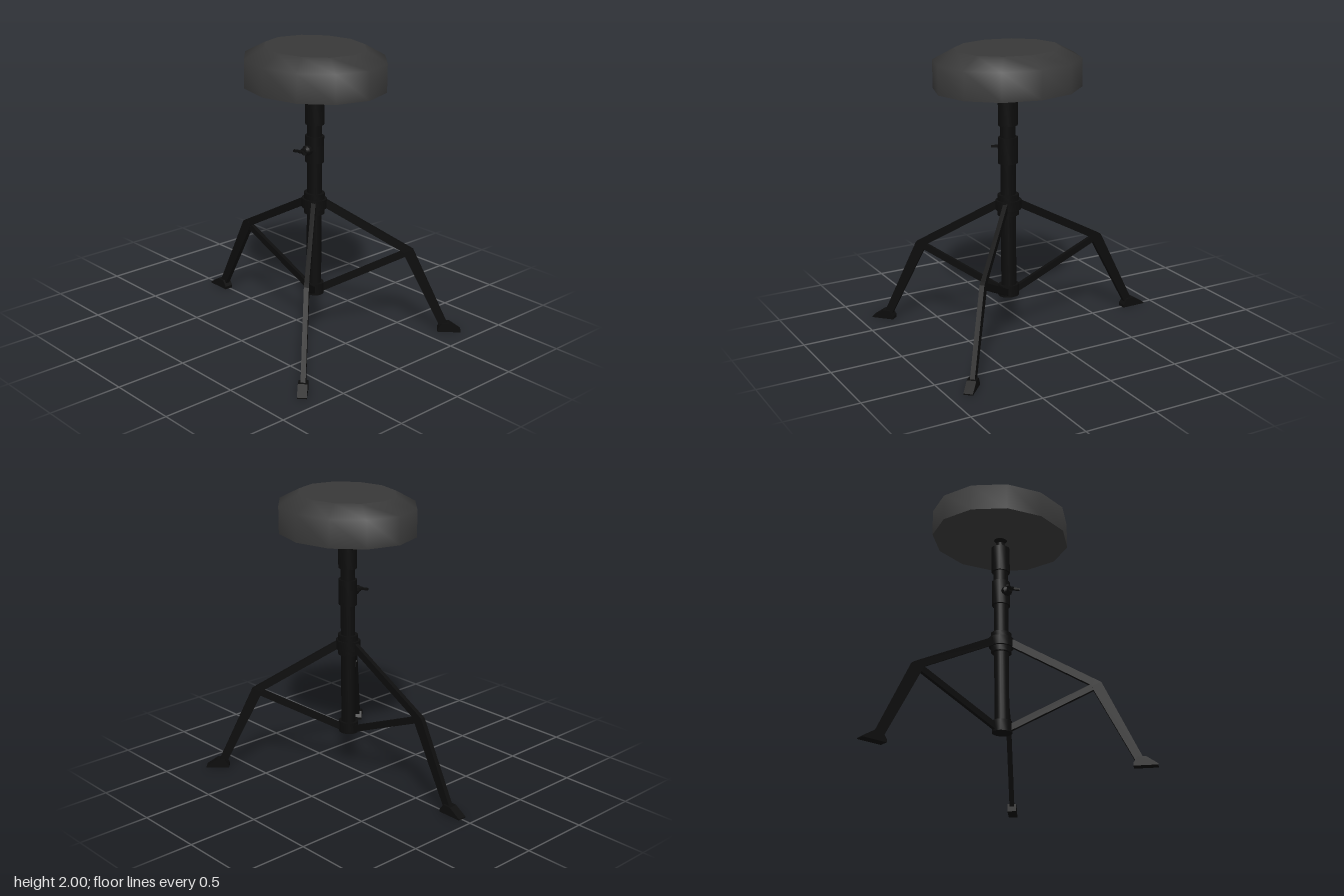
import * as THREE from 'three';
import { toCreasedNormals } from 'three/addons/utils/BufferGeometryUtils.js';

const STRETCH = 1.128; // seat and column are slightly oval, longer in z
const metal = new THREE.MeshStandardMaterial({ color: 0x0c0c0c });
const vinyl = new THREE.MeshStandardMaterial({ color: 0x383838 });

function add(parent, name, geometry, material = metal) {
  const mesh = new THREE.Mesh(geometry, material);
  mesh.name = name;
  parent.add(mesh);
  return mesh;
}

// closed turned part from [radius, height] pairs, bottom to top
function turned(points, sides = 16) {
  const p = points.map(([r, y]) => new THREE.Vector2(r, y));
  const closed = [new THREE.Vector2(0, p[0].y), ...p, new THREE.Vector2(0, p[p.length - 1].y)];
  return toCreasedNormals(new THREE.LatheGeometry(closed, sides), 0.6);
}

// flat side profile extruded evenly to both sides of its plane
function plate(points, width) {
  const shape = new THREE.Shape(points.map(([x, y]) => new THREE.Vector2(x, y)));
  const g = new THREE.ExtrudeGeometry(shape, { depth: width, bevelEnabled: false });
  return g.translate(0, 0, -width / 2);
}

// flat bar between two points of the leg plane
function bar(a, b, thick, width) {
  const dx = b[0] - a[0], dy = b[1] - a[1], len = Math.hypot(dx, dy);
  const nx = (-dy / len) * thick / 2, ny = (dx / len) * thick / 2;
  return plate([
    [a[0] - nx, a[1] - ny], [b[0] - nx, b[1] - ny],
    [b[0] + nx, b[1] + ny], [a[0] + nx, a[1] + ny],
  ], width);
}

// one folding leg, reaching out along its own +x
function makeLeg(name, dirX, dirZ, reach) {
  const leg = new THREE.Group();
  leg.name = name;
  const knee = [0.7, 0.59];
  add(leg, 'upperStrut', bar([0.04, 0.95], knee, 0.052, 0.03));
  add(leg, 'lowerStrut', bar([0.04, 0.305], [0.68, 0.575], 0.045, 0.026));
  // leg bar with a mitred top at the knee
  add(leg, 'legBar', plate([
    [0.66, 0.575], [0.95, 0.04], [1.015, 0.04], [0.735, 0.6], [0.69, 0.625],
  ], 0.032));
  // wedge foot
  add(leg, 'foot', plate([
    [0.935, 0], [1.11, 0], [1.11, 0.008], [1.025, 0.062], [0.965, 0.062], [0.935, 0.02],
  ], 0.062));
  leg.rotation.y = Math.atan2(-dirZ, dirX);
  leg.scale.x = reach;
  return leg;
}

export function createModel() {
  const model = new THREE.Group();
  model.name = 'stool';
  const axis = new THREE.Group();
  axis.name = 'stoolBody';
  axis.position.set(-0.005, 0, 0.184);
  model.add(axis);

  const core = new THREE.Group();
  core.name = 'columnAndSeat';
  core.scale.z = STRETCH;
  axis.add(core);

  // twelve-sided cushion with sloped upper edge
  const seat = new THREE.Group();
  seat.name = 'seat';
  core.add(seat);
  const rim = [[0.447, 1.735], [0.447, 1.925], [0.318, 2]].map(([r, y]) => new THREE.Vector2(r, y));
  add(seat, 'cushionSide', new THREE.LatheGeometry(rim, 12), vinyl);
  const disc = (r, y, tilt) =>
    new THREE.CircleGeometry(r, 12).rotateX(tilt).translate(0, y, 0);
  add(seat, 'cushionTop', disc(0.318, 2, -Math.PI / 2), vinyl);
  add(seat, 'cushionBase', disc(0.447, 1.735, Math.PI / 2), vinyl);

  // column, sleeves and collars
  add(core, 'column', turned([[0.047, 0.29], [0.047, 1.67]]));
  add(core, 'bottomCollar', turned([[0.064, 0.28], [0.064, 0.36]]));
  add(core, 'strutCollar', turned([
    [0.066, 0.86], [0.066, 0.9], [0.08, 0.9], [0.08, 0.965], [0.066, 0.965], [0.066, 1.005],
  ]));
  add(core, 'heightSleeve', turned([[0.06, 1.22], [0.06, 1.4]]));
  add(core, 'seatSleeve', turned([[0.06, 1.48], [0.06, 1.67]]));
  add(core, 'seatNeck', turned([[0.048, 1.66], [0.024, 1.715], [0.045, 1.738]]));

  // wing screw on the model's right
  const screw = new THREE.Group();
  screw.name = 'wingScrew';
  screw.position.set(-0.05, 1.31, 0);
  screw.rotation.z = Math.PI / 2;
  core.add(screw);
  add(screw, 'screwBoss', turned([[0.034, 0], [0.034, 0.025], [0.02, 0.04], [0.02, 0.055]], 10));
  add(screw, 'screwStem', turned([[0.008, 0.05], [0.008, 0.085]], 8));
  for (const side of [-1, 1]) {
    const wing = add(screw, 'wing', new THREE.BoxGeometry(0.014, 0.02, 0.05));
    wing.position.set(0, 0.076, side * 0.026);
    wing.rotation.x = -side * 0.45;
  }

  // three legs
  axis.add(makeLeg('backLeg', 0, -1, 1));
  axis.add(makeLeg('frontLeftLeg', 0.727, 0.687, 0.915));
  axis.add(makeLeg('frontRightLeg', -0.727, 0.687, 0.915));
  return model;
}
